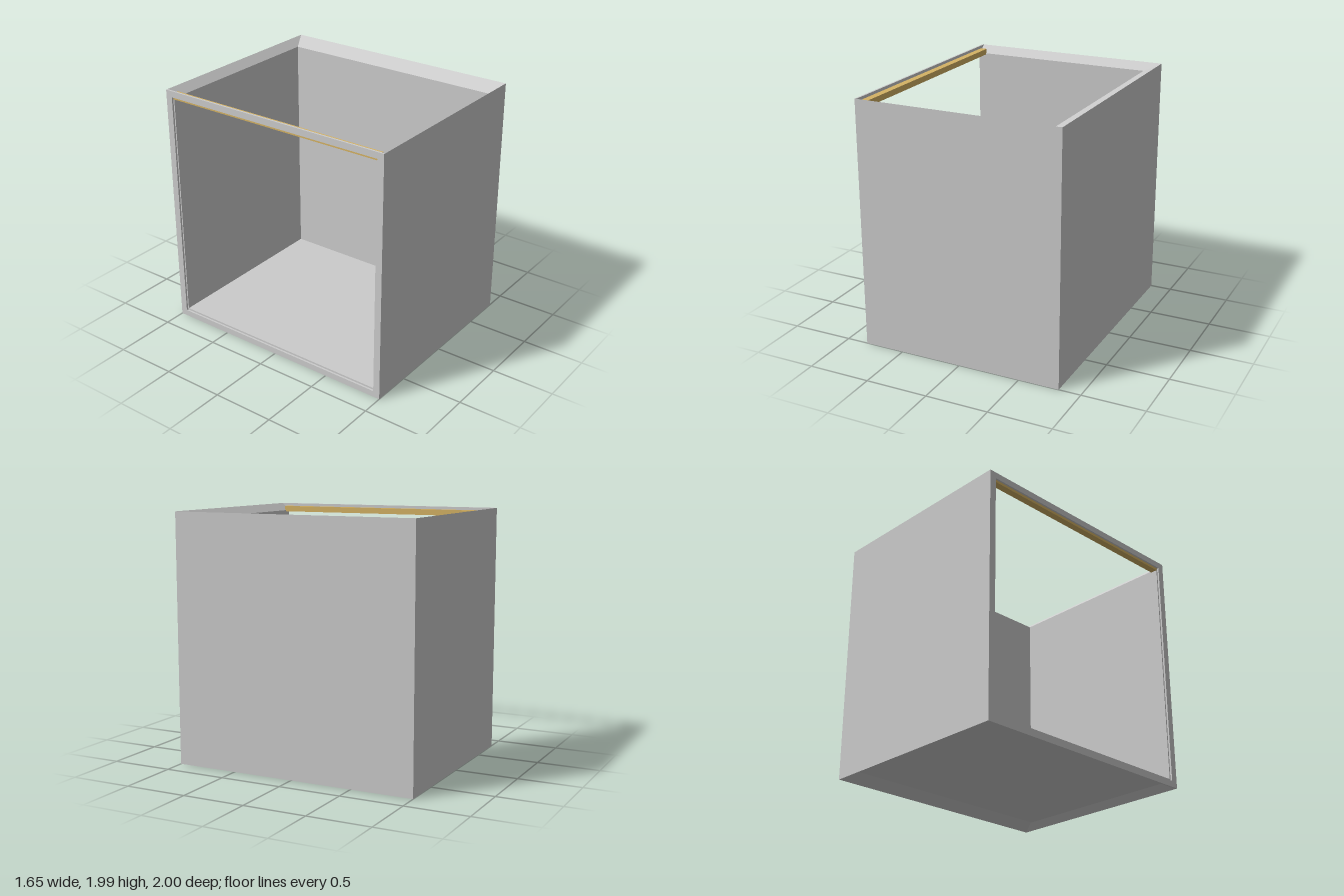
import * as THREE from 'three';

const W = 0.825, D = 1, H = 1.99;      // outer half width, half depth, height
const EDGE = -0.81;                    // where walls meet the open-side frame
const IX = 0.695, IZ = 0.935, LIP = 0.06; // inner wall faces and height of the slanted lips

export function createModel() {
  const group = new THREE.Group();
  const grey = new THREE.MeshStandardMaterial({ color: 0xcccccc });
  const gold = new THREE.MeshStandardMaterial({ color: 0xd4b264 });

  const add = (name, geometry, material = grey) => {
    const mesh = new THREE.Mesh(geometry, material);
    mesh.name = name;
    group.add(mesh);
    return mesh;
  };

  // Box whose corners are placed by a rule of the corner signs
  const shapedBox = (rule) => {
    const g = new THREE.BoxGeometry(2, 2, 2);
    const p = g.attributes.position;
    for (let i = 0; i < p.count; i++) p.setXYZ(i, ...rule(p.getX(i), p.getY(i), p.getZ(i)));
    g.computeVertexNormals();
    return g;
  };
  const level = (sy, outer) => {
    const inset = outer ? 0 : LIP;
    return sy > 0 ? H - inset : inset;
  };

  // Box between two opposite corners
  const block = (name, a, b, material) => {
    const mesh = add(name, new THREE.BoxGeometry(...a.map((v, i) => b[i] - v)), material);
    mesh.position.set(...a.map((v, i) => (v + b[i]) / 2));
  };

  // Front and back walls, mitred toward the inside
  for (const [name, side] of [['frontWall', 1], ['backWall', -1]]) {
    add(name, shapedBox((sx, sy, sz) => {
      const outer = sz === side;
      return [sx < 0 ? EDGE : outer ? W : IX, level(sy, outer), side * (outer ? D : IZ)];
    }));
  }

  // Thicker closed side wall
  add('sideWall', shapedBox((sx, sy, sz) => {
    const outer = sx > 0;
    return [outer ? W : IX, level(sy, outer), sz * (outer ? D : IZ)];
  }));

  // Thin floor set above the bottom lips
  block('floor', [EDGE, 0.048, -IZ], [IX, 0.065, IZ]);

  // Slim frame around the open side
  const frame = new THREE.Shape();
  frame.moveTo(-D, 0).lineTo(D, 0).lineTo(D, H).lineTo(-D, H).closePath();
  const hole = new THREE.Path();
  hole.moveTo(-0.945, 0.05).lineTo(-0.945, 1.94).lineTo(0.945, 1.94).lineTo(0.945, 0.05).closePath();
  frame.holes.push(hole);
  const frameGeo = new THREE.ExtrudeGeometry(frame, { depth: W + EDGE, bevelEnabled: false });
  frameGeo.rotateY(Math.PI / 2);
  add('openSideFrame', frameGeo).position.x = -W;

  // Coloured bar along the top of the open side
  block('topBar', [EDGE, 1.92, -0.945], [-0.755, 1.967, 0.945], gold);

  return group;
}
